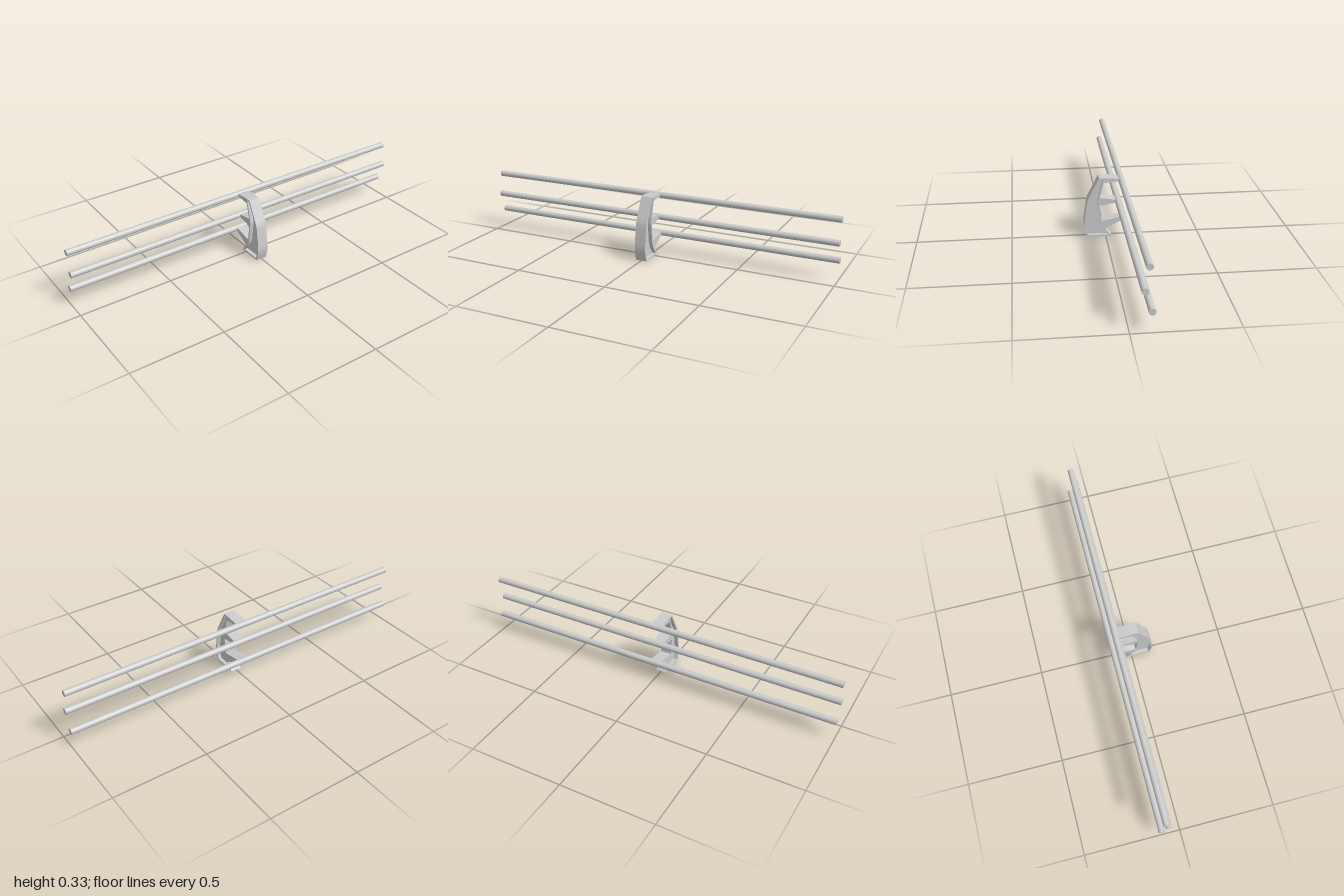
import * as THREE from 'three';
import { toCreasedNormals } from 'three/addons/utils/BufferGeometryUtils.js';

const material = new THREE.MeshStandardMaterial({ color: 0xcccccc });

// Rod centres as [z, y]
const RODS = [[-0.082, 0.318], [-0.065, 0.201], [-0.098, 0.101]];
const ROD_RADIUS = 0.0165;
const BRACKET_WIDTH = 0.06;
const WEB_WIDTH = 0.02;

// Extrudes a side profile drawn in (z, y) to a plate centred on x = 0
function plate(name, shape, width) {
  const geometry = new THREE.ExtrudeGeometry(shape, { depth: width, bevelEnabled: false, curveSegments: 8 });
  geometry.translate(0, 0, -width / 2).rotateY(-Math.PI / 2);
  const mesh = new THREE.Mesh(toCreasedNormals(geometry, 0.3), material);
  mesh.name = name;
  return mesh;
}

// Curved post with three tapering arms
function bracketOutline() {
  const s = new THREE.Shape();
  s.moveTo(-0.031, 0);
  s.lineTo(0.1, 0);
  s.bezierCurveTo(0.111, 0.035, 0.118, 0.06, 0.114, 0.095);
  s.lineTo(0.101, 0.19);
  s.quadraticCurveTo(0.098, 0.209, 0.088, 0.229);
  s.lineTo(0.035, 0.334);
  const points = [
    [0, 0.334], [-0.072, 0.327], [-0.072, 0.314], [0.01, 0.307], // top arm
    [0.031, 0.223], [-0.054, 0.21], [-0.054, 0.194], [0.033, 0.178], // middle arm
    [0.022, 0.091], [-0.088, 0.111], [-0.09, 0.095], [0.003, 0.045], // lower arm
  ];
  points.forEach(([z, y]) => s.lineTo(z, y));
  s.closePath();
  return s;
}

// Recess that leaves a thin rim around the post
function pocketOutline(PathType) {
  const p = new PathType();
  p.moveTo(-0.012, 0.01);
  p.lineTo(0.094, 0.01);
  p.bezierCurveTo(0.103, 0.04, 0.109, 0.06, 0.106, 0.092);
  p.lineTo(0.093, 0.185);
  p.quadraticCurveTo(0.09, 0.205, 0.08, 0.225);
  p.lineTo(0.03, 0.326);
  p.lineTo(0.014, 0.326);
  p.lineTo(0.039, 0.225);
  p.quadraticCurveTo(0.044, 0.2, 0.041, 0.175);
  p.lineTo(0.031, 0.094);
  p.quadraticCurveTo(0.028, 0.068, 0.014, 0.047);
  p.closePath();
  return p;
}

export function createModel() {
  const group = new THREE.Group();
  group.name = 'railBracket';

  // Bracket frame with the pocket cut through, closed by a thin central web
  const frame = bracketOutline();
  frame.holes.push(pocketOutline(THREE.Path));
  group.add(plate('bracketFrame', frame, BRACKET_WIDTH));
  group.add(plate('bracketWeb', pocketOutline(THREE.Shape), WEB_WIDTH));

  // Three long horizontal rods on the arm tips
  const rodGeometry = new THREE.CylinderGeometry(ROD_RADIUS, ROD_RADIUS, 2, 32).rotateZ(Math.PI / 2);
  const names = ['topRod', 'middleRod', 'lowerRod'];
  RODS.forEach(([z, y], i) => {
    const rod = new THREE.Mesh(rodGeometry, material);
    rod.name = names[i];
    rod.position.set(0, y, z);
    group.add(rod);
  });

  return group;
}
